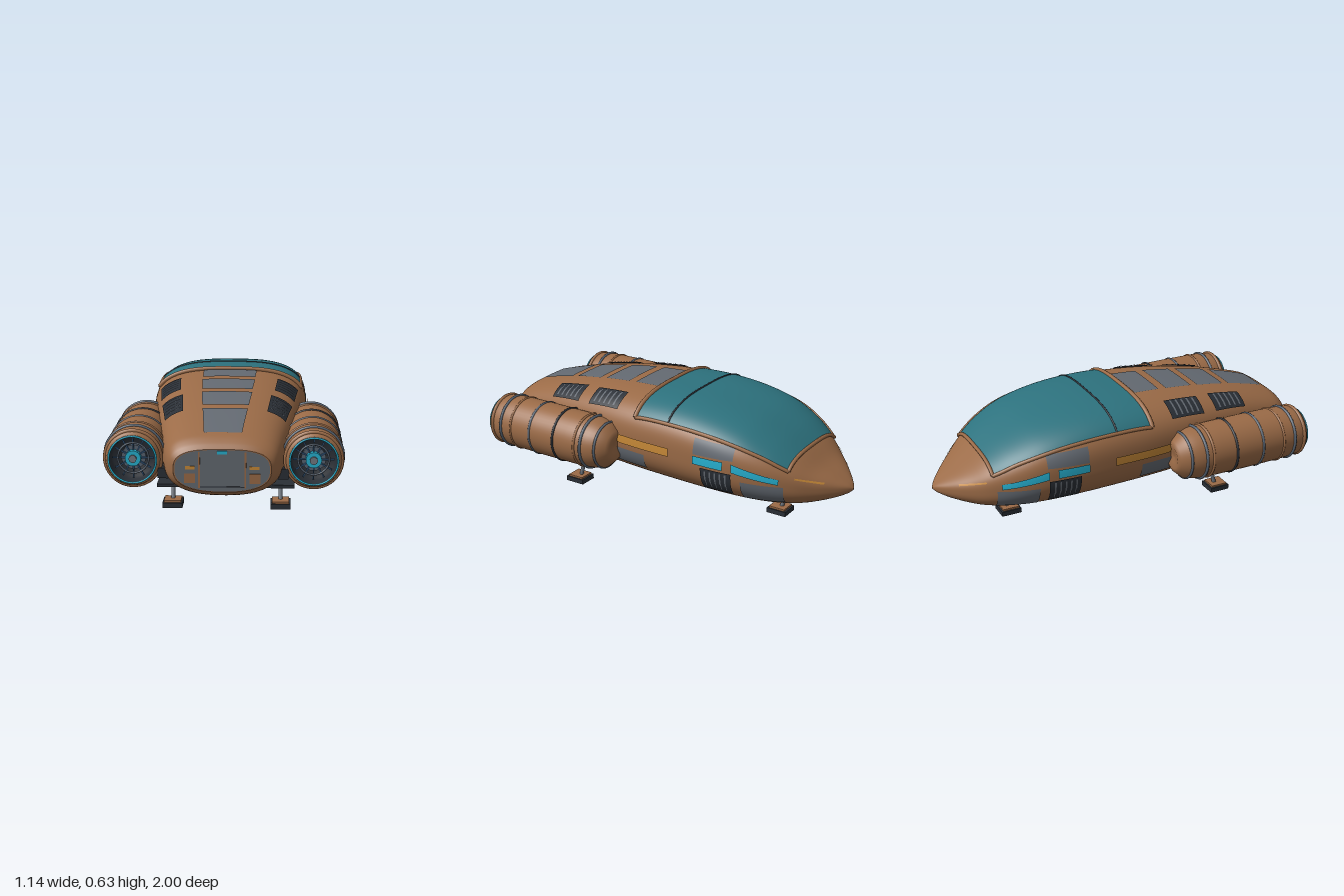
import * as THREE from 'three';

const mat = (name, color, side = THREE.FrontSide) => {
  const m = new THREE.MeshStandardMaterial({ color, side });
  m.name = name;
  return m;
};
const D = THREE.DoubleSide;
const bronze = mat('bronze hull', 0x9b6b47, D), glass = mat('teal glass', 0x2d727e, D);
const grey = mat('panel grey', 0x646a72, D), dark = mat('dark metal', 0x2a2f36, D);
const slate = mat('slate rings', 0x586472), cyan = mat('cyan light', 0x27b2d2, D);
const amber = mat('amber light', 0xc88a38, D), blue = mat('blue blades', 0x3c6590);
const steel = mat('strut steel', 0x747b84);

// Smooth interpolation through [z, value] keys
function curve(keys) {
  const slope = i => {
    const a = keys[Math.max(0, i - 1)], b = keys[Math.min(keys.length - 1, i + 1)];
    return (b[1] - a[1]) / (b[0] - a[0]);
  };
  return z => {
    let i = 0;
    while (i < keys.length - 2 && z > keys[i + 1][0]) i++;
    const [z0, a] = keys[i], [z1, b] = keys[i + 1], h = z1 - z0;
    const t = Math.min(1, Math.max(0, (z - z0) / h)), t2 = t * t, t3 = t2 * t;
    return a * (2 * t3 - 3 * t2 + 1) + b * (3 * t2 - 2 * t3)
      + h * (slope(i) * (t3 - 2 * t2 + t) + slope(i + 1) * (t3 - t2));
  };
}
const topY = curve([[-1, 0.245], [-0.98, 0.265], [-0.92, 0.305], [-0.84, 0.355], [-0.76, 0.42], [-0.65, 0.49],
  [-0.5, 0.555], [-0.3, 0.598], [-0.1, 0.613], [0.1, 0.608], [0.3, 0.594], [0.5, 0.568], [0.7, 0.53], [0.93, 0.465], [0.98, 0.435], [1, 0.412]]);
const bottomY = curve([[-1, 0.235], [-0.98, 0.217], [-0.92, 0.188], [-0.8, 0.153], [-0.65, 0.136], [-0.4, 0.131],
  [0, 0.134], [0.4, 0.14], [0.75, 0.152], [0.92, 0.172], [0.98, 0.193], [1, 0.21]]);
const widestY = curve([[-1, 0.24], [-0.8, 0.275], [-0.5, 0.34], [-0.1, 0.37], [0.4, 0.365], [0.8, 0.335], [1, 0.312]]);
const halfW = curve([[-1, 0.004], [-0.985, 0.033], [-0.95, 0.083], [-0.88, 0.165], [-0.78, 0.258], [-0.65, 0.335],
  [-0.5, 0.383], [-0.3, 0.405], [0, 0.407], [0.2, 0.392], [0.4, 0.365], [0.6, 0.333], [0.8, 0.295], [0.93, 0.27], [0.98, 0.248], [1, 0.225]]);
const UP = 3, LOW = 2.4; // roundness of the upper and lower hull

function section(z, angle) {
  const c = Math.cos(angle), s = Math.sin(angle), n = s > 0 ? UP : LOW, mid = widestY(z);
  const r = (Math.abs(c) ** n + Math.abs(s) ** n) ** (-1 / n);
  return new THREE.Vector3(halfW(z) * r * c, mid + (s > 0 ? topY(z) - mid : mid - bottomY(z)) * r * s, z);
}

// Point on the hull skin: from x on the roof, or from y on a flank
function skin(z, value, side, off) {
  const w = halfW(z), mid = widestY(z), up = side === 0 || value > mid;
  const n = up ? UP : LOW, h = up ? topY(z) - mid : mid - bottomY(z);
  const root = q => Math.max(0, 1 - Math.min(1, Math.abs(q)) ** n) ** (1 / n);
  const u = side === 0 ? value / w : side * root((value - mid) / h);
  const v = side === 0 ? root(value / w) : (value - mid) / h;
  const g = new THREE.Vector2(Math.sign(u) * Math.abs(u) ** (n - 1) / w, Math.sign(v) * Math.abs(v) ** (n - 1) / h).normalize();
  return new THREE.Vector3(u * w + g.x * off, mid + v * h + g.y * off, z);
}

function grid(rows, cols, point, closed) {
  const pos = [], idx = [], stride = closed ? cols : cols + 1;
  for (let i = 0; i <= rows; i++)
    for (let j = 0; j < stride; j++) pos.push(...point(i / rows, j / cols).toArray());
  for (let i = 0; i < rows; i++)
    for (let j = 0; j < cols; j++) {
      const k = (j + 1) % stride, a = i * stride + j, b = i * stride + k;
      idx.push(a, b, a + stride, b, b + stride, a + stride);
    }
  const g = new THREE.BufferGeometry();
  g.setAttribute('position', new THREE.Float32BufferAttribute(pos, 3));
  g.setIndex(idx);
  g.computeVertexNormals();
  return g;
}

export function createModel() {
  const root = new THREE.Group();
  const add = (name, geo, m, x = 0, y = 0, z = 0, parent = root) => {
    const mesh = new THREE.Mesh(geo, m);
    mesh.name = name;
    mesh.position.set(x, y, z);
    parent.add(mesh);
    return mesh;
  };
  const box = (name, m, w, h, d, x, y, z, parent) => add(name, new THREE.BoxGeometry(w, h, d), m, x, y, z, parent);
  // Thin plate following the skin; a and b are its edges at z0 and z1
  const patch = (name, m, z0, z1, [a0, b0], [a1, b1], side = 0, off = 0.005) =>
    add(name, grid(10, 10, (s, t) => {
      const lo = a0 + (a1 - a0) * s, hi = b0 + (b1 - b0) * s;
      const v = side > 0 ? lo + (hi - lo) * t : hi + (lo - hi) * t;
      return skin(z0 + (z1 - z0) * s, v, side, off);
    }), m);
  const tube = (name, m, pts, r) => add(name, new THREE.TubeGeometry(new THREE.CatmullRomCurve3(pts), 60, r, 8), m);

  // Hull and its flat rear end
  add('hull', grid(90, 112, (s, t) => section(-Math.cos(Math.PI * s), t * Math.PI * 2), true), bronze);
  const outline = scale => new THREE.Shape(Array.from({ length: 64 }, (_, i) => {
    const p = section(1, i / 32 * Math.PI);
    return new THREE.Vector2(p.x * scale, 0.312 + (p.y - 0.312) * scale);
  }));
  add('rearWall', new THREE.ShapeGeometry(outline(1)), bronze, 0, 0, 0.9995);
  add('rearPanel', new THREE.ShapeGeometry(outline(0.97)), grey, 0, 0, 1.001);

  // Rear door details
  box('doorLight', cyan, 0.045, 0.015, 0.006, 0, 0.397, 1.001);
  box('doorSill', dark, 0.21, 0.004, 0.005, 0, 0.235, 1.001);
  for (const s of [-1, 1]) {
    box('doorPost', bronze, 0.008, 0.17, 0.006, s * 0.106, 0.315, 1.001);
    box('rearLamp', amber, 0.045, 0.015, 0.006, s * 0.148, 0.325, 1.001);
    box('rearHatch', bronze, 0.05, 0.045, 0.006, s * 0.15, 0.275, 1.001);
  }

  // Canopy glass, frame and hoops
  const canopyW = curve([[-0.76, 0.248], [-0.7, 0.28], [-0.55, 0.333], [-0.4, 0.358], [-0.2, 0.371], [0.07, 0.373]]);
  const Z0 = -0.76, Z1 = 0.07;
  add('canopy', grid(44, 44, (s, t) => {
    const z = Z0 + (Z1 - Z0) * s;
    return skin(z, canopyW(z) * Math.sin((0.5 - t) * Math.PI), 0, 0.006);
  }), glass);
  const hoop = z => Array.from({ length: 25 }, (_, i) => skin(z, canopyW(z) * Math.sin((i / 24 - 0.5) * Math.PI), 0, 0.006));
  tube('canopyRearHoop', bronze, hoop(Z1), 0.012);
  tube('canopyFrontHoop', bronze, hoop(Z0), 0.01);
  tube('canopyMiddleHoop', dark, hoop(-0.13), 0.005);
  for (const s of [-1, 1])
    tube('canopyRail', bronze, Array.from({ length: 25 }, (_, i) => {
      const z = Z0 + (Z1 - Z0) * i / 24;
      return skin(z, s * canopyW(z), 0, 0.004);
    }), 0.01);

  // Roof panels
  for (const [z0, z1, w0, w1] of [[0.09, 0.235, 0.14, 0.135], [0.28, 0.44, 0.135, 0.125], [0.48, 0.65, 0.125, 0.112], [0.69, 0.92, 0.108, 0.088]])
    patch('roofPanel', grey, z0, z1, [-w0, w0], [-w1, w1]);

  for (const s of [-1, 1]) {
    // Roof vents with slats
    for (const [z0, z1, a0, b0, a1, b1] of [[0.2, 0.405, 0.25, 0.352, 0.235, 0.33], [0.485, 0.69, 0.218, 0.318, 0.2, 0.285]]) {
      patch('roofVent', dark, z0, z1, [s * a0, s * b0].sort((p, q) => p - q), [s * a1, s * b1].sort((p, q) => p - q), 0, 0.007);
      for (let i = 1; i < 6; i++) {
        const t = i / 6, z = z0 + (z1 - z0) * t, a = a0 + (a1 - a0) * t + 0.01, b = b0 + (b1 - b0) * t - 0.01;
        const e = [s * a, s * b].sort((p, q) => p - q);
        patch('roofVentSlat', grey, z - 0.005, z + 0.005, e, e, 0, 0.011);
      }
    }
    // Flank panels, lights and vent
    patch('sidePanel', grey, 0, 0.2, [0.25, 0.335], [0.25, 0.335], s);
    patch('upperSidePanel', grey, -0.515, -0.3, [0.412, 0.475], [0.412, 0.492], s);
    patch('noseSidePanel', grey, -0.75, -0.555, [0.205, 0.295], [0.21, 0.31], s);
    patch('amberStripe', amber, -0.155, 0.17, [0.365, 0.41], [0.365, 0.41], s, 0.008);
    patch('sideLight', cyan, -0.465, -0.3, [0.357, 0.402], [0.362, 0.405], s, 0.008);
    patch('noseLight', cyan, -0.73, -0.51, [0.308, 0.335], [0.355, 0.398], s, 0.008);
    patch('sideVent', dark, -0.51, -0.345, [0.23, 0.345], [0.23, 0.35], s, 0.008);
    for (let i = 1; i < 6; i++) {
      const z = -0.51 + i * 0.0275;
      patch('sideVentSlat', grey, z - 0.004, z + 0.004, [0.24, 0.338], [0.24, 0.338], s, 0.012);
    }
    patch('noseStripe', amber, -0.9, -0.79, [0.29, 0.297], [0.33, 0.337], s, 0.004);

    // Engine pod, running along z
    const pod = new THREE.Group();
    pod.name = 'engine';
    pod.position.set(s * 0.42, 0.342, 0);
    root.add(pod);
    const lathe = (name, m, pts) => {
      add(name, new THREE.LatheGeometry(pts.map(p => new THREE.Vector2(...p)), 48), m, 0, 0, 0, pod).rotation.x = Math.PI / 2;
    };
    const ring = (name, m, r, t, z) => add(name, new THREE.TorusGeometry(r, t, 8, 48), m, 0, 0, z, pod);
    const disc = (name, m, r, d, z) => {
      add(name, new THREE.CylinderGeometry(r, r, d, 32), m, 0, 0, z, pod).rotation.x = Math.PI / 2;
    };
    lathe('engineNose', bronze, [[0.0, 0.18], [0.03, 0.175], [0.062, 0.165], [0.085, 0.175], [0.122, 0.215], [0.124, 0.24]]);
    lathe('engineShell', bronze, [[0.124, 0.235], [0.133, 0.265], [0.139, 0.31], [0.142, 0.4], [0.143, 0.6], [0.141, 0.8], [0.137, 0.87], [0.131, 0.91], [0.123, 0.928], [0.112, 0.93]]);
    lathe('nozzleWall', dark, [[0.112, 0.935], [0.103, 0.9], [0.098, 0.865], [0, 0.865]]);
    ring('intakeRing', slate, 0.122, 0.007, 0.22);
    for (const z of [0.3, 0.64, 0.84]) ring('engineBand', slate, 0.14, 0.008, z);
    ring('darkBand', dark, 0.142, 0.007, 0.48);
    for (const z of [0.34, 0.77]) ring('bronzeBand', bronze, 0.14, 0.007, z);
    ring('rearLip', bronze, 0.13, 0.011, 0.905);
    ring('nozzleGlow', cyan, 0.111, 0.005, 0.937);
    ring('bladeRing', slate, 0.072, 0.005, 0.9);
    disc('turbineDisc', slate, 0.058, 0.02, 0.875);
    disc('hubGlow', cyan, 0.037, 0.03, 0.9);
    disc('hubCap', steel, 0.018, 0.03, 0.912);
    for (let i = 0; i < 12; i++) {
      const a = i * Math.PI / 6;
      box('turbineBlade', blue, 0.06, 0.006, 0.012, Math.cos(a) * 0.066, Math.sin(a) * 0.066, 0.895, pod).rotation.z = a;
    }
    box('enginePylon', dark, 0.05, 0.05, 0.36, s * 0.28, 0.275, 0.74);
  }

  // Landing legs: two at the back, one under the nose
  for (const [x, z] of [[-0.27, 0.535], [0.27, 0.535], [0, -0.59]]) {
    const leg = new THREE.Group();
    leg.name = 'landingLeg';
    leg.position.set(x, 0, z);
    root.add(leg);
    box('foot', dark, 0.1, 0.026, 0.11, 0, 0.013, 0, leg);
    box('footTop', bronze, 0.085, 0.01, 0.09, 0, 0.031, 0, leg);
    const strut = (name, m, r, y0, y1) => {
      const a = new THREE.Vector3(0, y0, -y0 * 0.28), b = new THREE.Vector3(0, y1, -y1 * 0.28), d = b.clone().sub(a);
      const mesh = add(name, new THREE.CylinderGeometry(r, r, d.length(), 16), m, 0, 0, 0, leg);
      mesh.position.copy(a).add(b).multiplyScalar(0.5);
      mesh.quaternion.setFromUnitVectors(new THREE.Vector3(0, 1, 0), d.normalize());
    };
    strut('lowerStrut', steel, 0.011, 0.03, 0.12);
    strut('upperStrut', steel, 0.018, 0.1, 0.19);
    box('legHatch', dark, 0.135, 0.016, 0.19, 0, x ? 0.138 : 0.134, x ? 0.03 : 0, leg);
  }
  return root;
}
